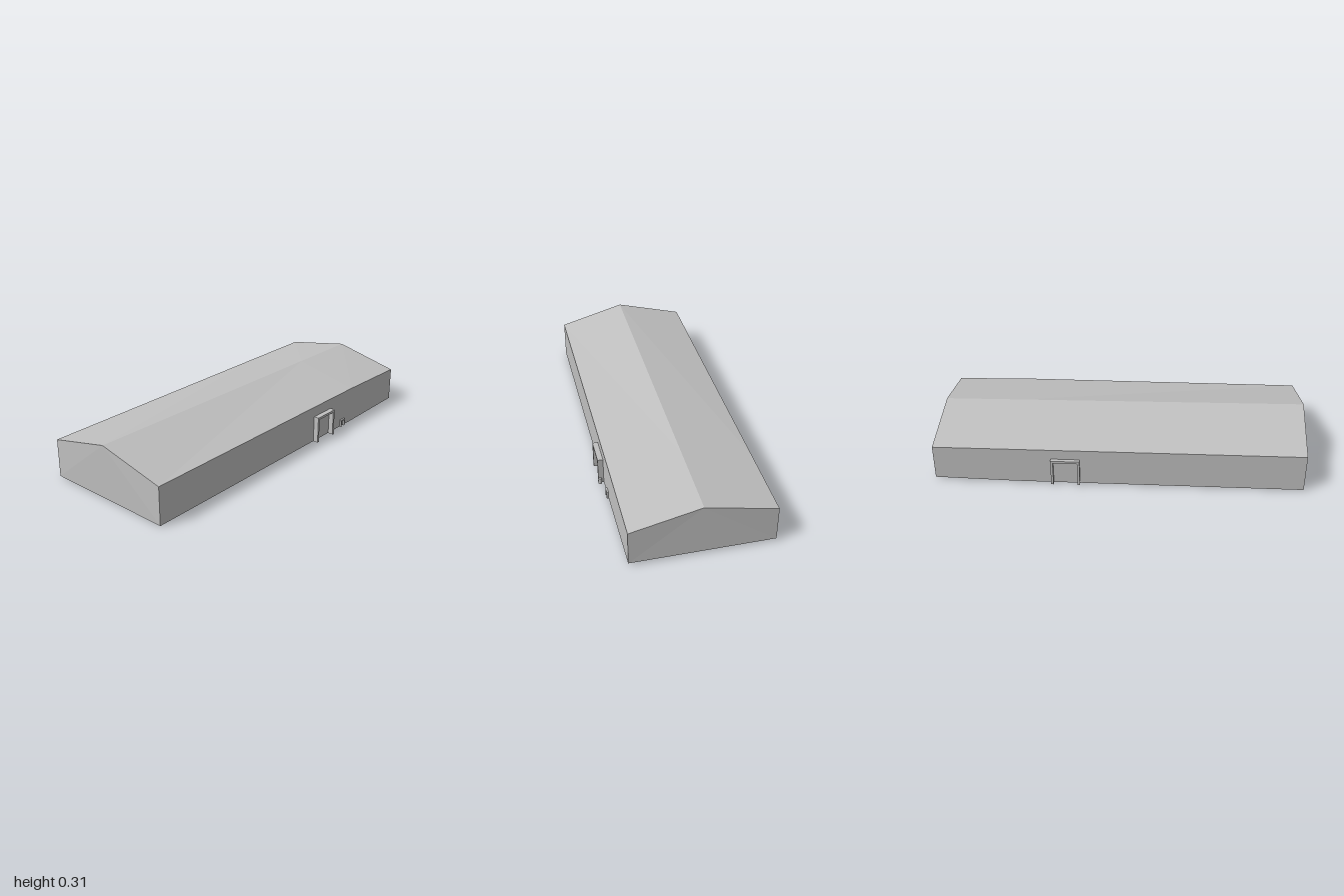
import * as THREE from 'three';

const grey = new THREE.MeshStandardMaterial({ color: 0xc0c0c0 });
grey.name = 'plain grey';

// Closed shell lofted through five-cornered cross-sections along x
function hallGeometry(sections) {
  const loops = sections.map(({ x, ridgeX, floor, front, back, ridge }) => [
    [x, floor, 0.37], [x, front, 0.37], [ridgeX, ridge, 0],
    [x, back, -0.377], [x, floor, -0.377],
  ]);
  const pos = [];
  const tri = (a, b, c) => pos.push(...a, ...b, ...c);
  for (let s = 0; s < loops.length - 1; s++) {
    const a = loops[s], b = loops[s + 1];
    for (let i = 0; i < 5; i++) {
      const j = (i + 1) % 5;
      tri(a[i], b[i], b[j]);
      tri(a[i], b[j], a[j]);
    }
  }
  // Gable ends, fanned from the ridge
  const first = loops[0], last = loops[loops.length - 1];
  for (let k = 3; k < 6; k++) {
    const i = k % 5, j = (k + 1) % 5;
    tri(first[2], first[i], first[j]);
    tri(last[2], last[j], last[i]);
  }
  const g = new THREE.BufferGeometry();
  g.setAttribute('position', new THREE.Float32BufferAttribute(pos, 3));
  g.computeVertexNormals();
  return g;
}

// Two posts and a lintel in one U-shaped extrusion, standing on its base
function frameGeometry(width, height, bar, depth) {
  const w = width / 2, i = w - bar, t = height - bar;
  const outline = [[-w, 0], [-i, 0], [-i, t], [i, t], [i, 0], [w, 0], [w, height], [-w, height]];
  const shape = new THREE.Shape(outline.map(([x, y]) => new THREE.Vector2(x, y)));
  return new THREE.ExtrudeGeometry(shape, { depth, bevelEnabled: false });
}

export function createModel() {
  const group = new THREE.Group();
  group.name = 'hall';

  function add(name, geometry, x = 0, y = 0, z = 0) {
    const mesh = new THREE.Mesh(geometry, grey);
    mesh.name = name;
    mesh.position.set(x, y, z);
    group.add(mesh);
  }

  // Long gabled hall whose ridge dips and floor rises towards +x
  add('hallShell', hallGeometry([
    { x: -0.988, ridgeX: -1, floor: 0.004, front: 0.215, back: 0.215, ridge: 0.31 },
    { x: 0.57, ridgeX: 0.57, floor: 0.005, front: 0.214, back: 0.21, ridge: 0.291 },
    { x: 0.997, ridgeX: 0.991, floor: 0.014, front: 0.205, back: 0.208, ridge: 0.286 },
  ]));

  // Projecting door surrounds on both long walls
  add('frontDoorFrame', frameGeometry(0.155, 0.151, 0.013, 0.034), 0.2875, 0.004, 0.365);
  add('backDoorFrame', frameGeometry(0.155, 0.151, 0.013, 0.027), 0.2875, 0.004, -0.398);

  // Bollard beside the front door
  add('bollard', new THREE.CylinderGeometry(0.009, 0.009, 0.037, 12), 0.367, 0.0185, 0.39);

  // Small hatch surround further along the front wall
  add('hatchFrame', frameGeometry(0.038, 0.043, 0.008, 0.015), 0.484, 0.004, 0.365);

  return group;
}
